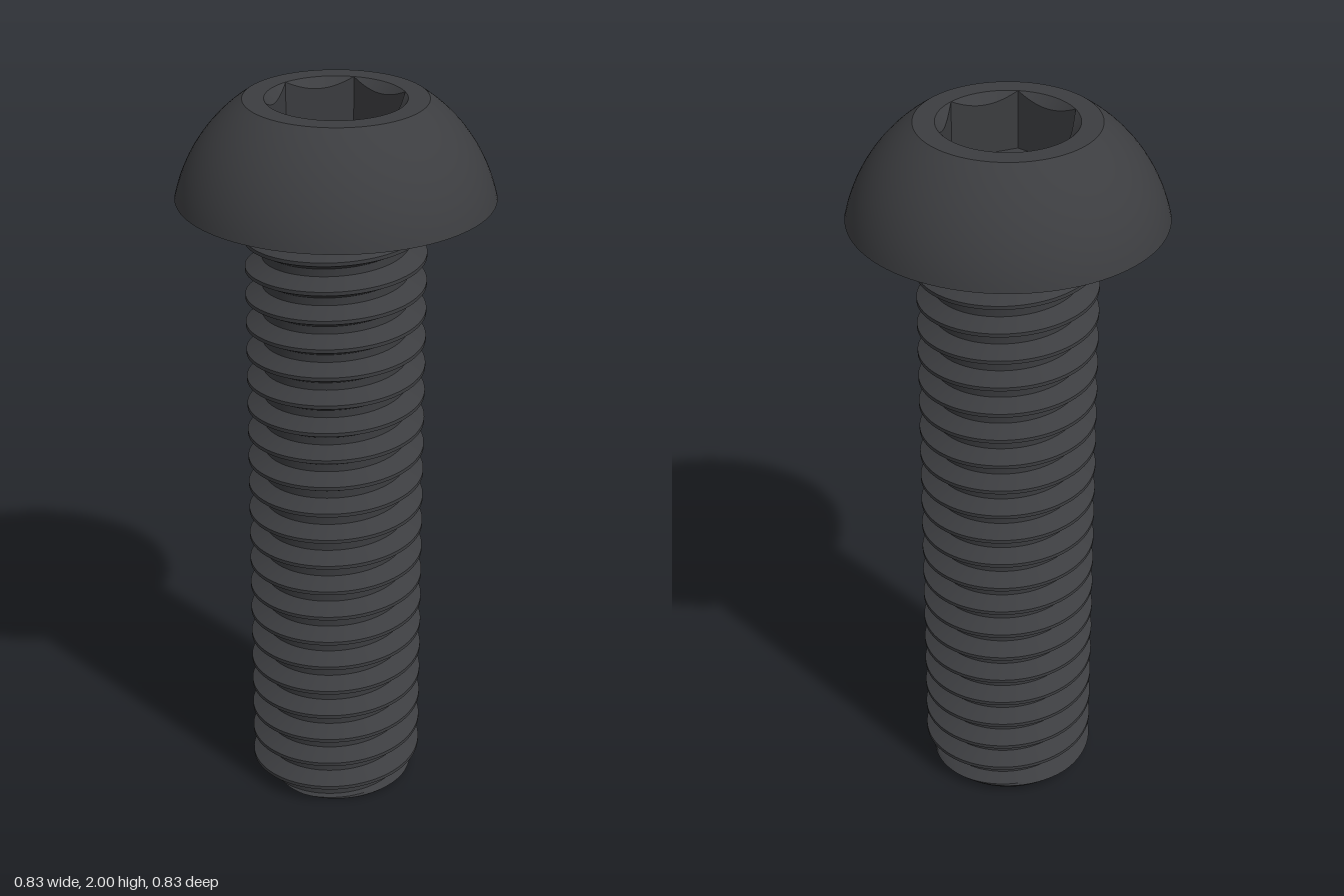
import * as THREE from 'three';
import { toCreasedNormals } from 'three/addons/utils/BufferGeometryUtils.js';

const SEGMENTS = 96;
const HEAD_BASE = 1.74, TOP = 2;
const HEAD_R = 0.415, FACE_R = 0.238;
const PITCH = 0.0791, CREST_R = 0.238, ROOT_R = 0.193;
const CREST_HALF = 0.005, ROOT_HALF = 0.0105; // half widths of the thread flats
const FLAT_R = 0.158, CORNER_R = FLAT_R / Math.cos(Math.PI / 6), SOCKET_DEPTH = 0.16;

const material = new THREE.MeshStandardMaterial({ color: 0x3c3d40 });

// Skin a grid of rows; point(angle, row) returns [radius, height]
function ringSurface(rows, point) {
  const positions = [], index = [];
  for (let j = 0; j < rows; j++) {
    for (let i = 0; i <= SEGMENTS; i++) {
      const a = (i / SEGMENTS) * Math.PI * 2;
      const [r, y] = point(a, j);
      positions.push(r * Math.cos(a), y, -r * Math.sin(a));
    }
  }
  const same = (p, q) => [0, 1, 2].every(k => Math.abs(positions[p * 3 + k] - positions[q * 3 + k]) < 1e-6);
  const addFace = (p, q, r) => {
    if (!same(p, q) && !same(q, r) && !same(r, p)) index.push(p, q, r);
  };
  for (let j = 0; j < rows - 1; j++) {
    for (let i = 0; i < SEGMENTS; i++) {
      const a = j * (SEGMENTS + 1) + i, d = a + SEGMENTS + 1;
      addFace(a, a + 1, d + 1);
      addFace(a, d + 1, d);
    }
  }
  const geometry = new THREE.BufferGeometry();
  geometry.setAttribute('position', new THREE.Float32BufferAttribute(positions, 3));
  geometry.setIndex(index);
  return toCreasedNormals(geometry, Math.PI / 6);
}

function part(name, geometry) {
  const mesh = new THREE.Mesh(geometry, material);
  mesh.name = name;
  return mesh;
}

// Domed head: underside, spherical flank and flat ring around the socket
function headGeometry() {
  const centre = 1.6477, radius = Math.hypot(HEAD_R, HEAD_BASE - centre);
  const start = Math.atan2(HEAD_BASE - centre, HEAD_R);
  const end = Math.atan2(TOP - centre, FACE_R);
  const profile = [new THREE.Vector2(0.18, HEAD_BASE)];
  for (let i = 0; i <= 16; i++) {
    const a = start + (end - start) * i / 16;
    profile.push(new THREE.Vector2(radius * Math.cos(a), centre + radius * Math.sin(a)));
  }
  profile.push(new THREE.Vector2(CORNER_R, TOP));
  return toCreasedNormals(new THREE.LatheGeometry(profile, SEGMENTS), Math.PI / 6);
}

// Hexagonal recess with a conical lead-in and a flat floor
function socketGeometry() {
  return ringSurface(4, (a, row) => {
    const hex = FLAT_R / Math.cos((a % (Math.PI / 3)) - Math.PI / 6);
    if (row === 0) return [CORNER_R, TOP];
    if (row === 1) return [hex, TOP - (CORNER_R - hex)];
    return [row === 2 ? hex : 0, TOP - SOCKET_DEPTH];
  });
}

// Right-handed thread, chamfered at the tip and flared under the head
function shankGeometry() {
  const crestHeight = a => 0.0055 + PITCH * a / (Math.PI * 2);
  const radiusAt = (a, y) => {
    const turns = (y - crestHeight(a)) / PITCH;
    const d = Math.abs(turns - Math.round(turns)) * PITCH;
    const t = (d - CREST_HALF) / (PITCH / 2 - ROOT_HALF - CREST_HALF);
    const thread = THREE.MathUtils.lerp(CREST_R, ROOT_R, THREE.MathUtils.clamp(t, 0, 1));
    const flare = 0.238 - 0.6 * (HEAD_BASE - y);
    return Math.max(Math.min(thread, 0.203 + y), flare);
  };
  // Heights of the profile corners relative to a crest, flanks split in four
  const inner = PITCH / 2 - ROOT_HALF, steps = [];
  for (let k = 0; k <= 4; k++) steps.push(CREST_HALF + (inner - CREST_HALF) * k / 4);
  const offsets = [...steps, ...steps.map(s => PITCH - s).reverse()];
  const levels = [];
  for (let turn = -2; turn <= 22; turn++) {
    for (const o of offsets) levels.push(turn * PITCH + o);
  }
  return ringSurface(levels.length + 1, (a, row) => {
    if (row === 0) return [0, 0];
    const y = THREE.MathUtils.clamp(levels[row - 1] + crestHeight(a), 0, HEAD_BASE);
    return [radiusAt(a, y), y];
  });
}

export function createModel() {
  const group = new THREE.Group();
  group.name = 'buttonHeadScrew';
  group.add(
    part('head', headGeometry()),
    part('hexSocket', socketGeometry()),
    part('threadedShank', shankGeometry()),
  );
  return group;
}
